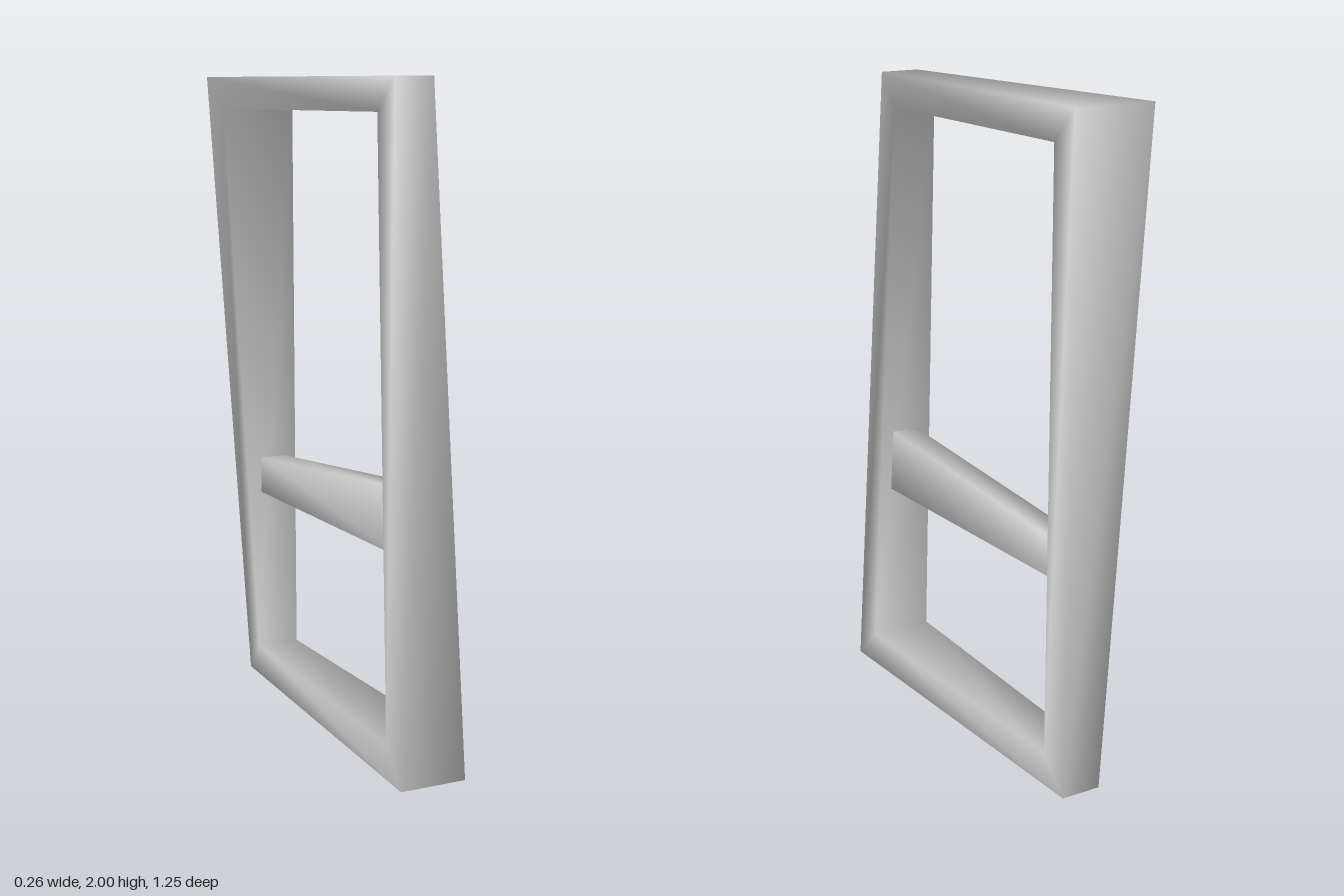
import * as THREE from 'three';

// Skins four-cornered cross-sections with shared vertices, so shading is smooth.
function loft(rings, closed) {
  const n = rings.length, index = [];
  for (let i = 0; i < (closed ? n : n - 1); i++) {
    const p = i * 4, q = ((i + 1) % n) * 4;
    for (let j = 0; j < 4; j++) {
      const k = (j + 1) % 4;
      index.push(p + j, p + k, q + k, p + j, q + k, q + j);
    }
  }
  if (!closed) {
    const e = (n - 1) * 4;
    index.push(0, 2, 1, 0, 3, 2, e, e + 1, e + 2, e, e + 2, e + 3);
  }
  const geometry = new THREE.BufferGeometry();
  geometry.setAttribute('position', new THREE.Float32BufferAttribute(rings.flat(2), 3));
  geometry.setIndex(index);
  geometry.computeVertexNormals();
  return geometry;
}

export function createModel() {
  const group = new THREE.Group();
  const material = new THREE.MeshStandardMaterial({ color: 0xcccccc });
  const add = (name, geometry) => {
    const mesh = new THREE.Mesh(geometry, material);
    mesh.name = name;
    group.add(mesh);
  };

  // Twisted frame: each corner as outer [y, z], inner [y, z], outer x, inner x
  const side = 0.13;
  const corners = [
    [[0, 0.62], [0.105, 0.51], -0.08, -0.07],
    [[2, 0.4], [1.9, 0.325], 0.005, -0.01],
    [[2, -0.625], [1.9, -0.53], -0.13, -0.115],
    [[0, -0.61], [0.105, -0.51], 0.003, -0.01],
  ];
  add('frame', loft(corners.map(([outer, inner, xOuter, xInner]) => [
    [side, ...outer], [side, ...inner], [xInner, ...inner], [xOuter, ...outer],
  ]), true));

  // Tapered crossbar, running from the back post to the front post
  const ends = [
    [[0.635, -0.515], [0.752, -0.52]],
    [[0.635, 0.456], [0.837, 0.435]],
  ];
  add('crossbar', loft(ends.map(([low, high]) => [
    [0.09, ...low], [0.09, ...high], [0.005, ...high], [0.005, ...low],
  ]), false));

  return group;
}
